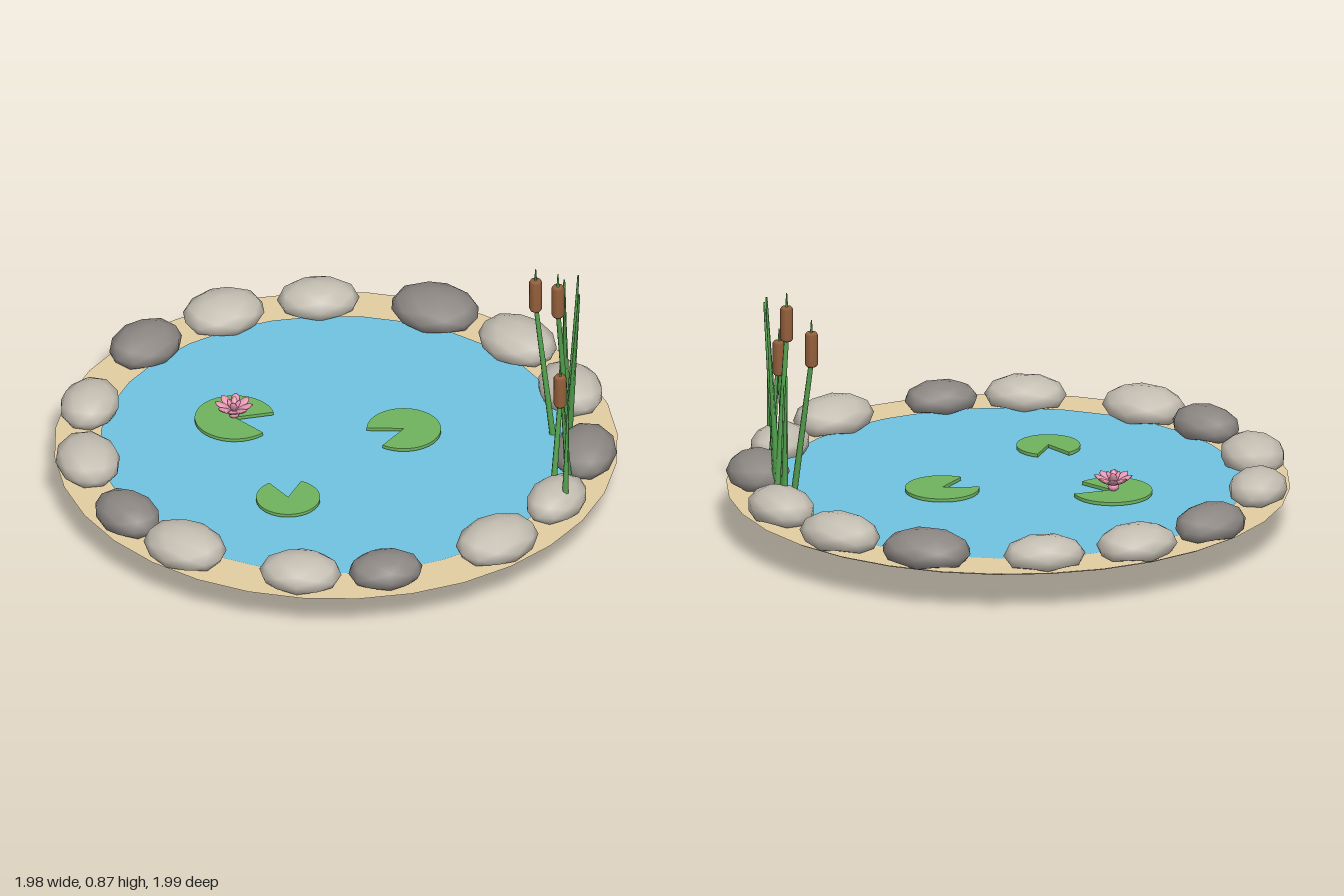
import * as THREE from 'three';

const mat = (name, color) => {
  const m = new THREE.MeshStandardMaterial({ color });
  m.name = name;
  return m;
};

export function createModel() {
  const model = new THREE.Group();
  model.name = 'gardenPond';
  const sand = mat('sand', 0xe4cea2);
  const water = mat('water', 0x70c4e2);
  const basinBlue = mat('basinBlue', 0x35748a);
  const lightStone = mat('lightStone', 0xc4beb2);
  const darkStone = mat('darkStone', 0x8c8783);
  const padGreen = mat('padGreen', 0x70b45e);
  const reedGreen = mat('reedGreen', 0x55a350);
  const brown = mat('cattailBrown', 0x96603c);
  const pink = mat('petalPink', 0xea9ab6);

  const add = (name, geometry, material, parent = model) => {
    const mesh = new THREE.Mesh(geometry, material);
    mesh.name = name;
    parent.add(mesh);
    return mesh;
  };
  const group = (name) => {
    const g = new THREE.Group();
    g.name = name;
    model.add(g);
    return g;
  };
  const lathe = (points, segments) =>
    new THREE.LatheGeometry(points.map(([r, y]) => new THREE.Vector2(r, y)), segments);

  // Shallow basin below the rim
  add('basin', lathe([[0, 0], [0.28, 0.012], [0.57, 0.025], [0.877, 0.14]], 40), basinBlue);

  // Sandy rim: flat top, underside rising to a thin outer edge
  const rim = group('rim');
  const rimTop = new THREE.RingGeometry(0.8, 0.988, 32).rotateX(-Math.PI / 2);
  add('rimTop', rimTop, sand, rim).position.y = 0.15;
  add('rimUnderside', lathe([[0.86, 0.137], [0.97, 0.14], [0.988, 0.15]], 32), sand, rim);

  // Water surface
  add('waterSurface', new THREE.CircleGeometry(0.828, 32).rotateX(-Math.PI / 2), water).position.y = 0.153;

  // Border stones with flat undersides: x, z, half length along the rim, half width, dark
  const stoneGeo = new THREE.IcosahedronGeometry(1, 1);
  const pos = stoneGeo.attributes.position;
  for (let i = 0; i < pos.count; i++) pos.setY(i, Math.max(pos.getY(i), -0.55));
  const stones = group('stones');
  [
    [-0.09, -0.88, 0.157, 0.118, 0], [0.265, -0.835, 0.152, 0.112, 0], [0.615, -0.625, 0.152, 0.112, 1],
    [0.79, -0.36, 0.14, 0.1, 0], [0.873, -0.03, 0.16, 0.12, 0], [0.775, 0.39, 0.132, 0.1, 1],
    [0.605, 0.635, 0.145, 0.11, 0], [0.225, 0.85, 0.157, 0.122, 0], [-0.065, 0.878, 0.14, 0.104, 1],
    [-0.42, 0.775, 0.152, 0.114, 0], [-0.70, 0.545, 0.142, 0.104, 0], [-0.88, 0.155, 0.147, 0.112, 1],
    [-0.87, -0.185, 0.15, 0.12, 0], [-0.735, -0.5, 0.145, 0.105, 0], [-0.43, -0.78, 0.162, 0.125, 1],
  ].forEach(([x, z, length, width, dark]) => {
    const s = add('stone', stoneGeo, dark ? darkStone : lightStone, stones);
    const height = 0.064 + 0.35 * (length - 0.13);
    s.scale.set(length, height, width);
    s.position.set(x, 0.149 + 0.55 * height, z);
    s.rotation.y = -Math.atan2(z, x) - Math.PI / 2;
  });

  // Lily pads: x, z, radius, notch start and end in degrees
  const pads = group('lilyPads');
  [
    [0.085, -0.235, 0.13, 73, 130],
    [-0.338, 0.185, 0.14, -65, -7],
    [0.18, 0.355, 0.112, 182, 242],
  ].forEach(([x, z, r, a, b]) => {
    const rad = Math.PI / 180;
    const shape = new THREE.Shape().moveTo(0, 0);
    shape.absarc(0, 0, r, b * rad, (a + 360) * rad, false);
    shape.lineTo(0, 0);
    const geo = new THREE.ExtrudeGeometry(shape, { depth: 0.012, bevelEnabled: false, curveSegments: 24 });
    add('lilyPad', geo.rotateX(Math.PI / 2), padGreen, pads).position.set(x, 0.17, z);
  });

  // Water lily: two whorls of petals leaning outward
  const lily = group('waterLily');
  lily.position.set(-0.343, 0.183, 0.185);
  const petalGeo = new THREE.SphereGeometry(1, 8, 6);
  [[8, 0.036, 0.5, 0.036, 0.026, 0.018], [4, 0.024, 1.1, 0.012, 0.036, 0.013]].forEach(
    ([n, length, tilt, out, up, width], whorl) => {
      for (let i = 0; i < n; i++) {
        const arm = new THREE.Group();
        arm.name = 'petalArm';
        arm.rotation.y = ((i + whorl * 0.5) / n) * Math.PI * 2;
        lily.add(arm);
        const p = add('petal', petalGeo, pink, arm);
        p.scale.set(length, 0.008, width);
        p.position.set(out, up, 0);
        p.rotation.z = tilt;
      }
    });
  const heart = add('flowerHeart', petalGeo, pink, lily);
  heart.scale.set(0.02, 0.016, 0.02);

  // Tapered reed between two points
  const reeds = group('reeds');
  const up = new THREE.Vector3(0, 1, 0);
  const reed = (name, from, to, rBottom, rTop, flat = 1) => {
    const a = new THREE.Vector3(...from);
    const b = new THREE.Vector3(...to);
    const dir = b.clone().sub(a);
    const m = add(name, new THREE.CylinderGeometry(rTop, rBottom, dir.length(), 6), reedGreen, reeds);
    m.position.copy(a).add(b).multiplyScalar(0.5);
    m.quaternion.setFromUnitVectors(up, dir.normalize());
    m.scale.z = flat;
  };

  // Cattails: base x, z, head x, z, head bottom, tip height
  const headGeo = lathe([[0, 0], [0.018, 0], [0.023, 0.008], [0.023, 0.117], [0.018, 0.125], [0, 0.125]], 8);
  [
    [0.412, -0.64, 0.342, -0.62, 0.64, 0.81],
    [0.472, -0.665, 0.487, -0.605, 0.695, 0.87],
    [0.735, -0.385, 0.69, -0.455, 0.485, 0.655],
  ].forEach(([bx, bz, hx, hz, y, tip]) => {
    reed('cattailStalk', [bx, 0.15, bz], [hx, y + 0.02, hz], 0.012, 0.009);
    reed('cattailTip', [hx, y + 0.1, hz], [hx, tip, hz], 0.007, 0.002);
    add('cattailHead', headGeo, brown, reeds).position.set(hx, y, hz);
  });

  // Pointed leaf blades
  [
    [[0.302, 0.15, -0.785], [0.275, 0.66, -0.8]],
    [[0.302, 0.15, -0.79], [0.335, 0.6, -0.755]],
    [[0.477, 0.15, -0.655], [0.526, 0.86, -0.665]],
    [[0.482, 0.15, -0.655], [0.576, 0.82, -0.63]],
    [[0.68, 0.15, -0.5], [0.69, 0.6, -0.458]],
    [[0.842, 0.15, -0.355], [0.825, 0.58, -0.385]],
  ].forEach(([a, b]) => reed('leafBlade', a, b, 0.016, 0.004, 0.75));

  return model;
}
